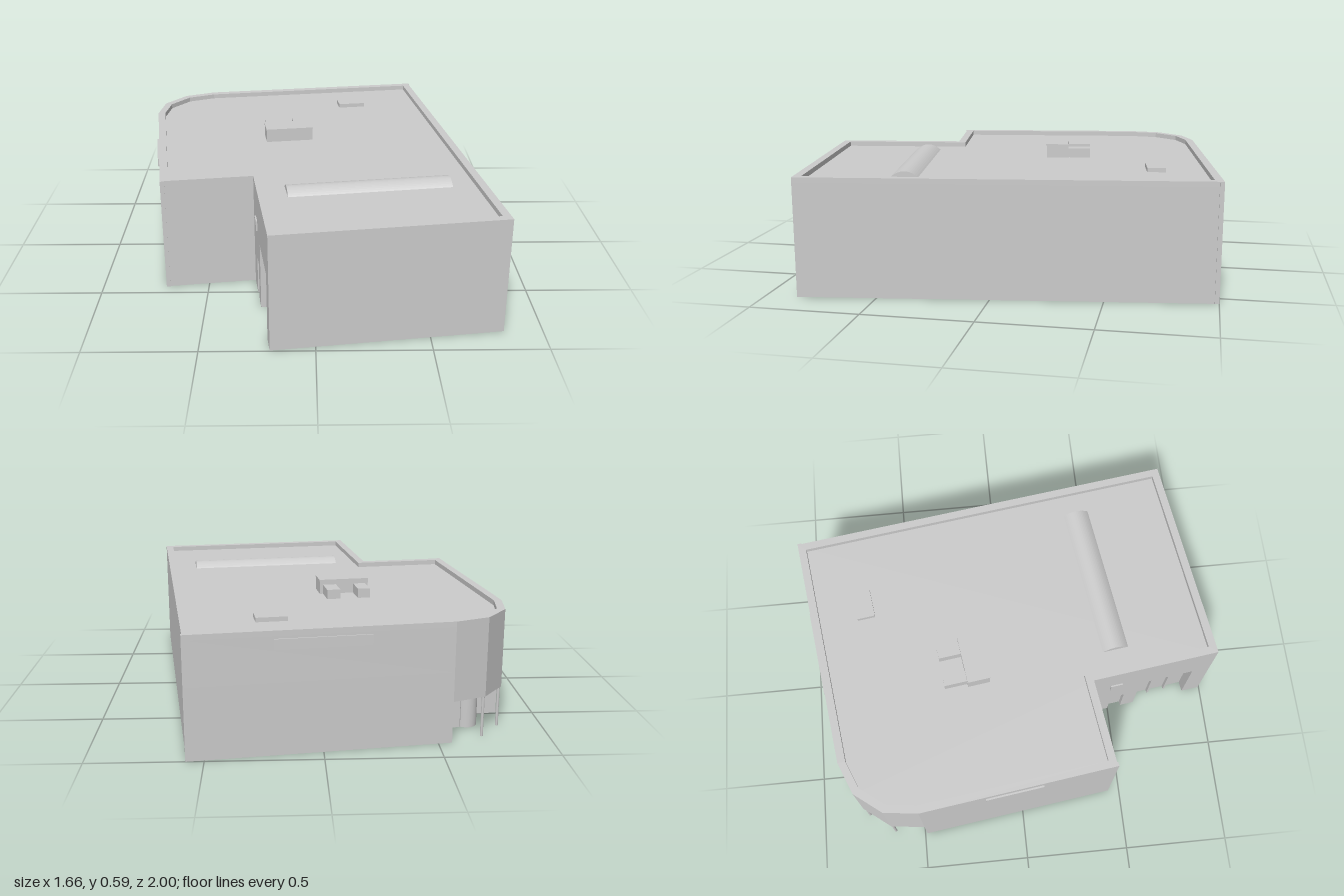
import * as THREE from 'three';

const grey = new THREE.MeshStandardMaterial({ color: 0xcccccc, flatShading: true });
const smoothGrey = new THREE.MeshStandardMaterial({ color: 0xcccccc });

// Building outline in plan [x, z]; inset shrinks it, openings cut into it.
function outline({ inset = 0, entrance = false, door = false, bay = false } = {}) {
  const i = inset;
  const p = [[0.704 - i, -0.913 + i], [0.704 - i, 0.959 - i], [-0.329 + i, 0.959 - i]];
  const notch = (z0, z1, depth) =>
    p.push([-0.329, z1], [-0.329 + depth, z1], [-0.329 + depth, z0], [-0.329, z0]);
  if (bay) notch(0.6, 0.87, 0.05);
  if (door) notch(0.46, 0.53, 0.02);
  p.push([-0.329 + i, 0.341 - i], [-0.755 + i, 0.341 - i]);
  if (entrance) {
    p.push([-0.755, -0.598], [-0.608, -0.598], [-0.608, -0.667], [-0.53, -0.745],
      [-0.441, -0.745], [-0.441, -0.913]);
  } else {
    // rounded corner in three facets
    for (let k = 0; k <= 3; k++) {
      const a = (k / 3) * Math.PI / 2, r = 0.315 - i;
      p.push([-0.441 - r * Math.cos(a), -0.598 - r * Math.sin(a)]);
    }
  }
  return p.map(([x, z]) => new THREE.Vector2(x, z));
}

export function createModel() {
  const model = new THREE.Group();
  model.name = 'building';
  model.rotation.y = 0.136;

  const add = (name, geometry, material = grey) => {
    const mesh = new THREE.Mesh(geometry, material);
    mesh.name = name;
    model.add(mesh);
    return mesh;
  };
  // Box given by its ranges on x, y and z
  const box = (name, x0, x1, y0, y1, z0, z1) =>
    add(name, new THREE.BoxGeometry(x1 - x0, y1 - y0, z1 - z0))
      .position.set((x0 + x1) / 2, (y0 + y1) / 2, (z0 + z1) / 2);
  // Horizontal slab from a plan outline
  const slab = (name, points, y0, y1, hole) => {
    const shape = new THREE.Shape(points);
    if (hole) shape.holes.push(new THREE.Path(hole));
    const g = new THREE.ExtrudeGeometry(shape, { depth: y1 - y0, bevelEnabled: false });
    add(name, g.rotateX(Math.PI / 2).translate(0, y1, 0));
  };

  // Walls, stacked in bands so that the openings are real recesses
  slab('groundFloor', outline({ entrance: true, door: true, bay: true }), 0, 0.187);
  slab('middleWalls', outline({ bay: true }), 0.187, 0.32);
  slab('upperWalls', outline(), 0.32, 0.522);
  slab('parapet', outline(), 0.522, 0.545, outline({ inset: 0.037 }));

  // Corner entrance: rounded lobby and two slim posts
  add('entranceLobby', new THREE.CylinderGeometry(0.05, 0.05, 0.187, 20), smoothGrey)
    .position.set(-0.569, 0.0935, -0.706);
  for (const a of [Math.PI / 6, Math.PI / 3]) {
    add('entrancePost', new THREE.CylinderGeometry(0.007, 0.007, 0.187, 8), smoothGrey)
      .position.set(-0.441 - 0.303 * Math.cos(a), 0.0935, -0.598 - 0.303 * Math.sin(a));
  }

  // Loading bay uprights and the small plate beside it
  for (const z of [0.69, 0.78]) box('bayUpright', -0.295, -0.279, 0, 0.32, z - 0.005, z + 0.005);
  box('wallPlate', -0.336, -0.325, 0.34, 0.39, 0.44, 0.5);

  // Blank panels high on the walls
  box('backPanel', -0.08, 0.333, 0.465, 0.51, -0.92, -0.91);
  box('sidePanel', -0.764, -0.75, 0.475, 0.513, -0.285, -0.01);

  // Narrow corner strips
  box('frontCornerStrip', -0.755, -0.735, 0, 0.545, 0.335, 0.346);
  box('backCornerStrip', 0.695, 0.708, 0, 0.545, -0.913, -0.893);

  // Roof equipment
  box('roofUnit', -0.214, 0.019, 0.52, 0.583, -0.246, -0.139);
  box('roofUnitLid', -0.216, 0.021, 0.583, 0.59, -0.246, -0.134);
  box('roofDuct', -0.199, -0.142, 0.52, 0.566, -0.355, -0.244);
  box('roofDuct', -0.058, 0.004, 0.52, 0.566, -0.353, -0.244);
  box('roofHatch', 0.241, 0.381, 0.52, 0.542, -0.694, -0.609);

  // Barrel skylight: shallow arc section run along x
  const arc = new THREE.Shape();
  for (let k = 0; k <= 16; k++) {
    const t = -1 + k / 8;
    arc[k ? 'lineTo' : 'moveTo'](t * 0.064, 0.028 * (1 - t * t));
  }
  const vault = new THREE.ExtrudeGeometry(arc, { depth: 0.755, bevelEnabled: false });
  add('barrelSkylight', vault.rotateY(Math.PI / 2).translate(-0.194, 0.521, 0.487));

  const root = new THREE.Group();
  root.name = 'model';
  root.add(model);
  return root;
}
